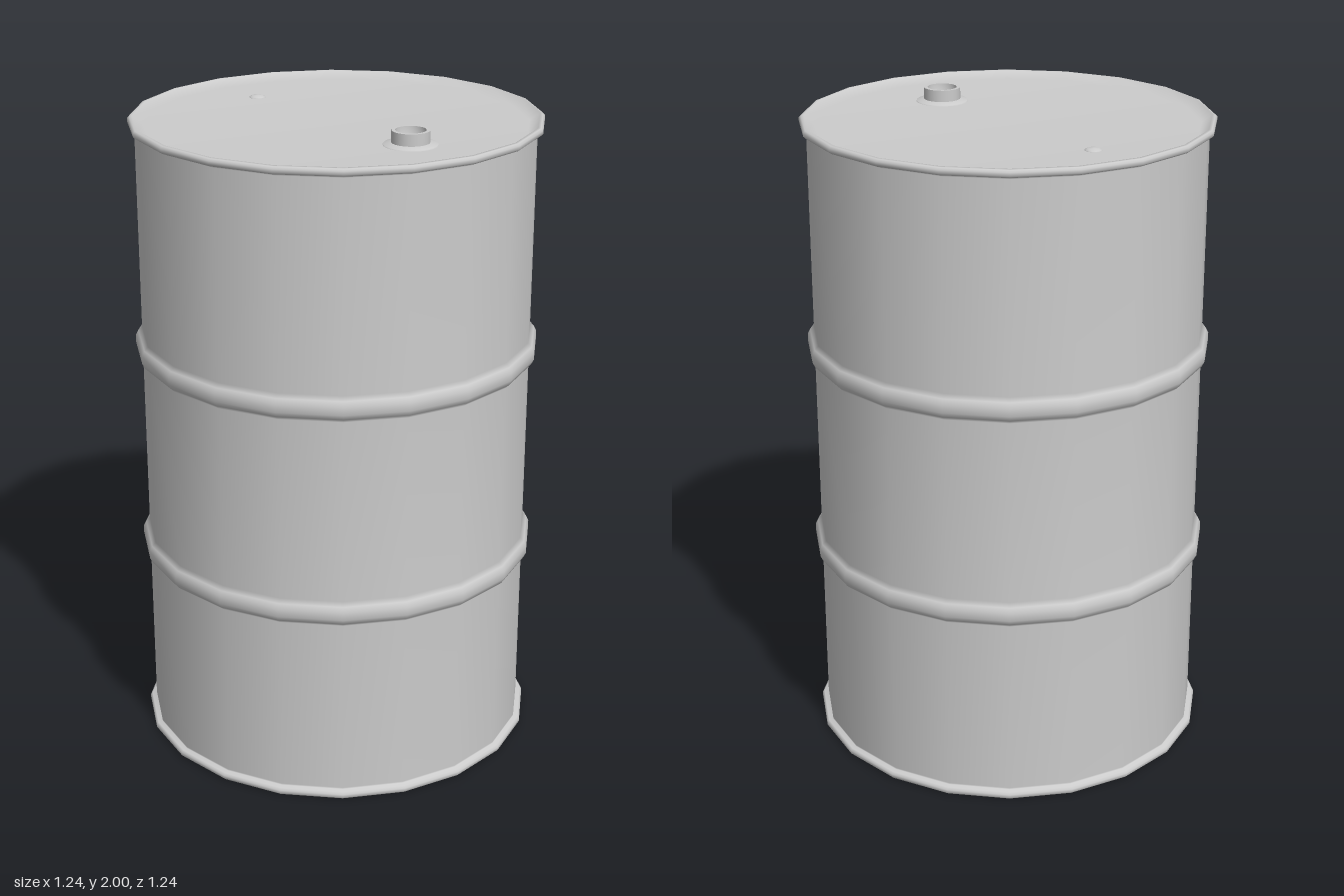
import * as THREE from 'three';

const material = new THREE.MeshStandardMaterial({ color: 0xcccccc });

// Revolves a profile of [radius, height] pairs, listed bottom to top on the outside
function lathe(name, profile, segments) {
  const points = profile.map(([r, y]) => new THREE.Vector2(r, y));
  const mesh = new THREE.Mesh(new THREE.LatheGeometry(points, segments), material);
  mesh.name = name;
  return mesh;
}

export function createModel() {
  const group = new THREE.Group();
  group.name = 'drum';

  const radius = 0.6;
  const rimRadius = 0.62;
  const top = 1.98;
  const lidY = 1.957;

  // Rounded hoop swelling out of the wall
  const hoop = (y) => [
    [radius, y - 0.04], [0.612, y - 0.028], [rimRadius, y - 0.012],
    [rimRadius, y + 0.012], [0.612, y + 0.028], [radius, y + 0.04],
  ];

  // Body: dished base, bottom rim, wall with two hoops, top rim, dished lid
  const body = lathe('body', [
    [0, 0.018], [0.575, 0.018], [0.605, 0],
    [0.614, 0.001], [rimRadius, 0.007], [rimRadius, 0.017], [0.614, 0.023], [radius, 0.025],
    [radius, 0.03],
    ...hoop(0.63),
    ...hoop(1.28),
    [radius, top - 0.03],
    [radius, top - 0.025], [0.614, top - 0.023], [rimRadius, top - 0.017],
    [rimRadius, top - 0.007], [0.614, top - 0.001], [0.605, top],
    [0.575, lidY], [0, lidY],
  ], 20);
  group.add(body);

  // Filler spout: sloped collar, neck and open mouth with a sunken floor
  const filler = new THREE.Group();
  filler.name = 'filler';
  filler.position.set(0, lidY, 0.343);
  filler.add(
    lathe('collar', [[0.081, -0.003], [0.079, 0.003], [0.055, 0.008]], 24),
    lathe('neck', [[0.056, 0], [0.056, 0.043]], 24),
    lathe('mouthEdge', [[0.056, 0.043], [0.045, 0.043]], 24),
    lathe('mouth', [[0.045, 0.043], [0.044, 0.012], [0.034, 0.005], [0, 0.003]], 24),
  );
  group.add(filler);

  // Small vent plug on the far side of the lid
  const vent = lathe('ventPlug', [[0.025, -0.002], [0.025, 0.002], [0.017, 0.006], [0, 0.008]], 16);
  vent.position.set(0, lidY, -0.403);
  group.add(vent);

  return group;
}
